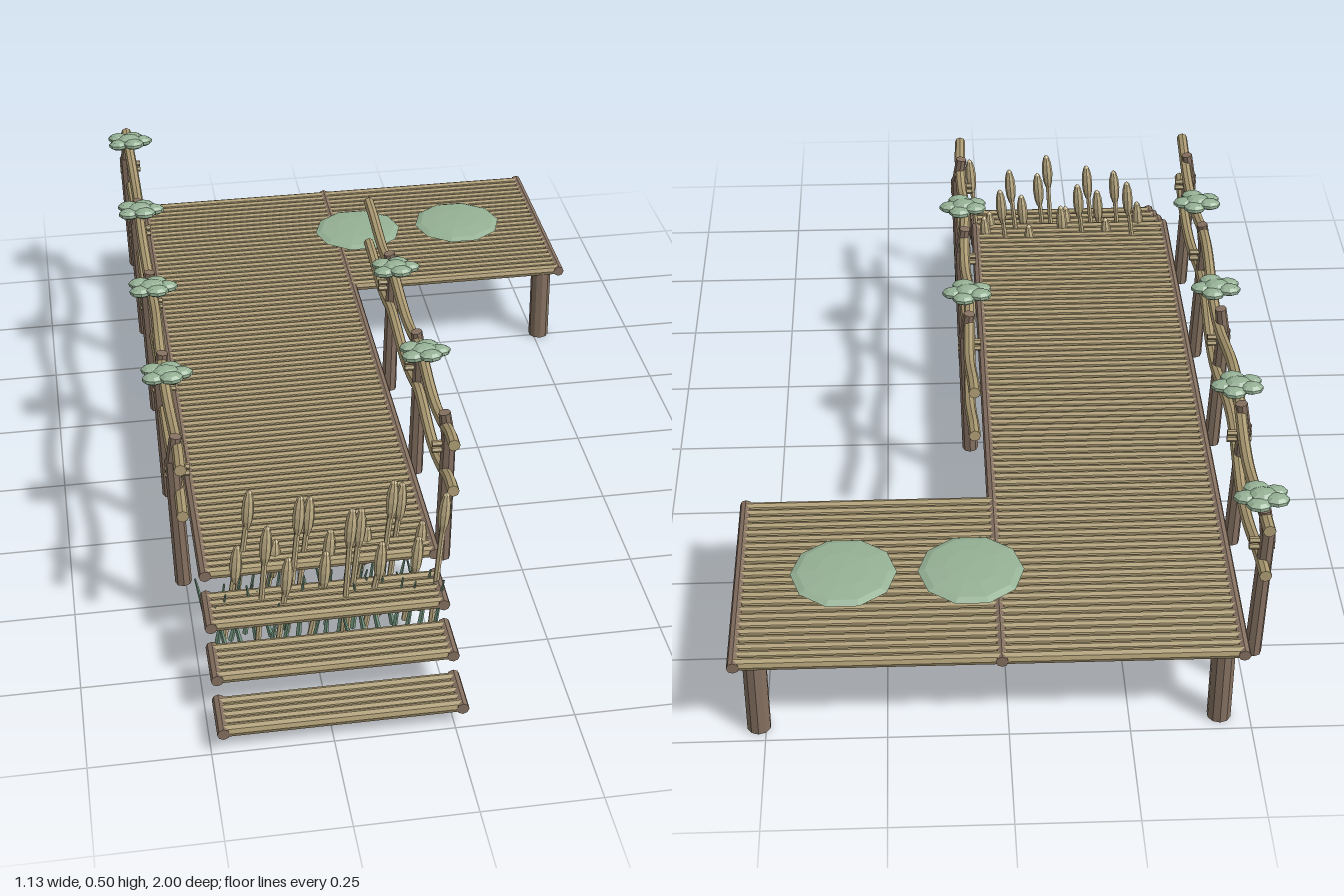
import * as THREE from 'three';

const mat = (name, color) => {
  const m = new THREE.MeshStandardMaterial({ color });
  m.name = name;
  m.flatShading = true;
  return m;
};

export function createModel() {
  const model = new THREE.Group();
  model.name = 'dock';
  const tan = mat('tan wood', 0xab9a72);
  const brown = mat('brown wood', 0x857161);
  const straw = mat('straw', 0xc2b188);
  const pad = mat('pad green', 0x96b296);
  const reed = mat('reed green', 0x769a82);

  const group = (name, parent = model) => {
    const g = new THREE.Group();
    g.name = name;
    parent.add(g);
    return g;
  };
  const add = (parent, name, geometry, material) => {
    const m = new THREE.Mesh(geometry, material);
    m.name = name;
    parent.add(m);
    return m;
  };
  // Straight pole between two points
  const up = new THREE.Vector3(0, 1, 0);
  const pole = (parent, name, a, b, r, material, sides = 8, rTop = r) => {
    const p = new THREE.Vector3(...a), q = new THREE.Vector3(...b);
    const d = q.clone().sub(p);
    const m = add(parent, name, new THREE.CylinderGeometry(rTop, r, d.length(), sides), material);
    m.position.copy(p).add(q).multiplyScalar(0.5);
    m.quaternion.setFromUnitVectors(up, d.normalize());
    return m;
  };
  const blob = (parent, name, p, s, material, w = 10, h = 6) => {
    const m = add(parent, name, new THREE.SphereGeometry(1, w, h), material);
    m.position.set(...p);
    m.scale.set(...s);
    return m;
  };
  let seed = 7;
  const rand = () => (seed = (seed * 16807) % 2147483647) / 2147483647;

  // Panels of round slats with brown side poles
  const panel = (name, x0, x1, z0, z1, y, sides) => {
    const g = group(name);
    const r = 0.013;
    const n = Math.round((z1 - z0 - 2 * r) / 0.0225);
    for (let i = 0; i <= n; i++) {
      const z = z0 + r + ((z1 - z0 - 2 * r) * i) / n;
      pole(g, 'slat', [x0 + r, y, z], [x1 - r, y, z], i === 0 || i === n ? r : 0.012, tan);
    }
    for (const x of sides) pole(g, 'sidePole', [x, y, z0], [x, y, z1], r, brown);
  };
  panel('walkway', -0.487, 0.028, -1, 0.675, 0.2, [-0.474, 0.015]);
  panel('platform', 0.002, 0.568, -1, -0.475, 0.2, [0.555]);
  [0.148, 0.098, 0.048].forEach((y, i) =>
    panel('step', -0.487, 0.028, 0.67 + i * 0.11, 0.785 + i * 0.1075, y, [-0.474, 0.015]));

  // Legs under the far end
  for (const x of [-0.437, 0.515])
    for (const z of [-0.957, -0.507])
      pole(model, 'leg', [x, 0, z], [x, 0.195, z], 0.025, brown, 10);

  // Clusters of small leaves above the railings
  const cluster = (parent, x, z) => {
    const g = group('leafCluster', parent);
    blob(g, 'leaf', [x, 0.485, z], [0.03, 0.012, 0.024], pad, 8, 5);
    for (let i = 0; i < 5; i++) {
      const a = (i * Math.PI * 2) / 5;
      blob(g, 'leaf', [x + Math.cos(a) * 0.033, 0.479 + (i % 2) * 0.004, z + Math.sin(a) * 0.026],
        [0.027, 0.012, 0.021], pad, 8, 5);
    }
  };

  // Railings: crooked posts, lashing stubs and wavy rails
  const railing = (name, x, side, postZ, leafZ, zEnd) => {
    const g = group(name);
    for (const z of postZ) {
      const knee = [x + side * 0.01, 0.418, z];
      pole(g, 'post', [x, 0.1, z], knee, 0.018, brown, 8, 0.016);
      pole(g, 'postTop', [knee[0], 0.405, z], [x, 0.475, z], 0.015, brown, 8, 0.013);
      for (const y of [0.382, 0.398])
        pole(g, 'lashing', [x - 0.026, y, z], [x + 0.026, y, z], 0.007, tan, 6);
    }
    for (const y of [0.445, 0.33]) {
      const pts = [];
      for (let i = 0; i <= 24; i++) {
        const t = i / 24;
        pts.push(new THREE.Vector3(
          x + 0.003 * Math.sin(t * 17),
          y + 0.018 * Math.cos(t * Math.PI * 6),
          0.66 + (zEnd - 0.66) * t));
      }
      const curve = new THREE.CatmullRomCurve3(pts);
      add(g, 'rail', new THREE.TubeGeometry(curve, 48, 0.013, 8), tan);
      // Closed rail ends
      for (const t of [0, 1]) {
        const cap = add(g, 'railEnd', new THREE.CircleGeometry(0.013, 8), tan);
        cap.position.copy(curve.getPoint(t));
        cap.lookAt(cap.position.clone().addScaledVector(curve.getTangent(t), t ? 1 : -1));
      }
    }
    for (const z of leafZ) cluster(g, x, z);
  };
  railing('rightRailing', -0.512, -1, [0.55, 0.215, -0.15, -0.515, -0.875],
    [0.31, -0.07, -0.455, -0.84], -0.93);
  railing('leftRailing', 0.055, 1, [0.55, 0.215, -0.15], [0.31, -0.07], -0.44);

  // Flat lily pads on the platform
  for (const x of [0.07, 0.337])
    blob(model, 'lilyPad', [x, 0.223, -0.74], [0.112, 0.012, 0.112], pad, 10, 6);

  // Cattails at the front of the walkway, tall and short ones mixed
  const reeds = group('reeds');
  const kinds = [[0.325, 0.035], [0.295, 0.06], [0.215, 0], [0.2, 0.085]];
  for (let c = 0; c < 5; c++) {
    kinds.forEach(([y, dx], k) => {
      if (c === 4 && k % 2) return;
      const x = -0.408 + c * 0.1 + dx, z = 0.61 + ((c * 3 + k * 5) % 7) * 0.02;
      const top = y + (rand() - 0.5) * 0.02, foot = x - 0.02 - rand() * 0.02;
      pole(reeds, 'stem', [foot, 0.03, z], [x, top, z], 0.0065, straw, 6);
      blob(reeds, 'cattail', [x, top, z], [0.0135, 0.052, 0.0135], straw, 8, 6).rotation.z = -0.08;
    });
  }
  // Thin green blades between them
  for (let i = 0; i < 44; i++) {
    const x = -0.47 + (i / 43) * 0.47, z = 0.605 + ((i * 5) % 8) * 0.019;
    const lean = (i % 3 ? 1 : -1) * (0.015 + rand() * 0.015);
    pole(reeds, 'blade', [x, 0.03, z], [x + lean, 0.14 + rand() * 0.05, z + (rand() - 0.5) * 0.03],
      0.006, reed, 4, 0.002);
  }

  return model;
}
